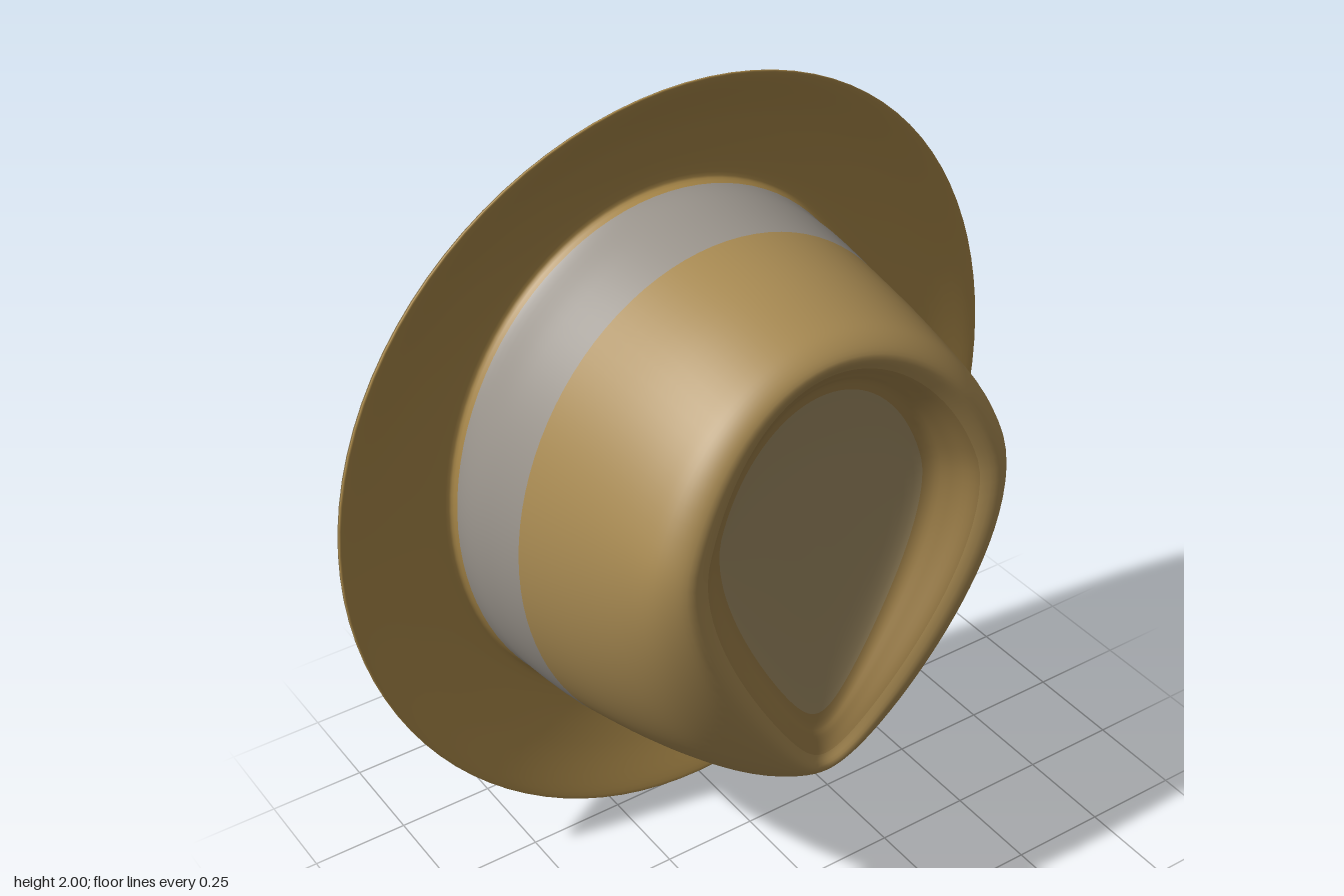
import * as THREE from 'three';

const SEG = 96, SUB = 5;

// Closed hat profile from the middle of the underside, round the brim edge,
// up the crown and into the dented top.
// Each ring: [rx, ry, centreY, z, pinch towards the front point, z lift at top and bottom]
const RINGS = [
  [0, 0, 1.06, -0.295, 0, 0],          // 0 hollow centre
  [0.24, 0.3, 1.05, -0.3, 0, 0],
  [0.38, 0.46, 1.02, -0.325, 0, 0],
  [0.48, 0.57, 1.0, -0.355, 0, 0],     // 3 underside of brim
  [0.62, 0.72, 1.0, -0.387, 0, 0],
  [0.77, 0.86, 1.0, -0.383, 0, 0.004],
  [0.9, 0.975, 1.0, -0.32, 0, 0.05],
  [0.922, 1.0, 1.0, -0.298, 0, 0.055], // 7 brim edge
  [0.9, 0.98, 1.0, -0.295, 0, 0.05],
  [0.78, 0.87, 1.0, -0.325, 0, 0.025],
  [0.64, 0.74, 0.99, -0.345, 0, 0],
  [0.605, 0.707, 0.99, -0.325, 0, 0],  // 11 foot of band
  [0.597, 0.695, 0.993, -0.22, 0, 0],
  [0.577, 0.68, 0.995, -0.09, 0, 0],   // 13 top of band
  [0.548, 0.653, 1.0, 0.1, 0.06, 0],
  [0.525, 0.623, 1.0, 0.26, 0.18, -0.02],
  [0.504, 0.6, 1.0, 0.355, 0.34, -0.05],
  [0.455, 0.568, 1.0, 0.407, 0.46, -0.07], // 17 crest of crown
  [0.4, 0.535, 1.0, 0.39, 0.5, -0.07],     // 18 inner wall
  [0.355, 0.5, 1.01, 0.335, 0.5, -0.03],
  [0.3, 0.45, 1.02, 0.29, 0.46, 0],        // 20 floor of dent
  [0.16, 0.25, 1.04, 0.272, 0.3, 0],
  [0, 0, 1.05, 0.268, 0, 0],
];

// Smooth interpolation between neighbouring rings
function ringAt(u) {
  const last = RINGS.length - 1;
  const i = Math.min(Math.floor(u), last - 1), t = u - i;
  const p = RINGS[Math.max(i - 1, 0)], a = RINGS[i], b = RINGS[i + 1], n = RINGS[Math.min(i + 2, last)];
  return a.map((v, k) => {
    const m0 = (b[k] - p[k]) / 2, m1 = (n[k] - v) / 2;
    return (2 * t ** 3 - 3 * t * t + 1) * v + (t ** 3 - 2 * t * t + t) * m0
      + (3 * t * t - 2 * t ** 3) * b[k] + (t ** 3 - t * t) * m1;
  });
}

// Point on a ring; the pinch narrows its lower half into a teardrop
function pointOn([rx, ry, cy, z, pinch, lift], angle) {
  const s = Math.sin(angle), c = Math.cos(angle);
  const d = Math.max(0, 0.4 - s);
  const narrow = 1 - pinch * d * d / (d + 0.2);
  return [rx * c * narrow, cy + ry * s, z + lift * s * s];
}

function buildShell() {
  const rows = (RINGS.length - 1) * SUB;
  const positions = [], index = [];
  for (let i = 0; i <= rows; i++) {
    const ring = ringAt(i / SUB);
    for (let j = 0; j < SEG; j++) positions.push(...pointOn(ring, (j / SEG) * Math.PI * 2));
  }
  for (let i = 0; i < rows; i++) {
    for (let j = 0; j < SEG; j++) {
      const a = i * SEG + j, b = i * SEG + (j + 1) % SEG;
      index.push(a, b, b + SEG, a, b + SEG, a + SEG);
    }
  }
  const geometry = new THREE.BufferGeometry();
  geometry.setAttribute('position', new THREE.Float32BufferAttribute(positions, 3));
  geometry.setIndex(index);
  geometry.computeVertexNormals();
  return geometry;
}

function mesh(name, geometry, color) {
  const m = new THREE.Mesh(geometry, new THREE.MeshStandardMaterial({ color }));
  m.name = name;
  return m;
}

export function createModel() {
  const hat = new THREE.Group();
  hat.name = 'hat';

  // Cut the shell into parts between ring numbers, keeping its smooth normals
  const shell = buildShell();
  const all = Array.from(shell.index.array);
  const parts = [
    ['hollowCentre', 0, 1, 0x68491f],
    ['hollowWall', 1, 3, 0x4a3318],
    ['hollowRim', 3, 4, 0x6e5a38],
    ['brimUnderside', 4, 7, 0x7d6b47],
    ['brimTop', 7, 11, 0xa88748],
    ['hatBand', 11, 13, 0x9a948c],
    ['crown', 13, 18, 0xa88a52],
    ['dentWall', 18, 20, 0x9c7e48],
    ['dentFloor', 20, 22, 0xa08c64],
  ];
  const perRing = SUB * SEG * 6;
  for (const [name, from, to, color] of parts) {
    const piece = shell.clone();
    piece.setIndex(all.slice(from * perRing, to * perRing));
    hat.add(mesh(name, piece.toNonIndexed(), color));
  }

  // Button on the left of the band
  const button = new THREE.Group();
  button.name = 'bandButton';
  const disc = mesh('buttonDisc', new THREE.CylinderGeometry(0.042, 0.048, 0.02, 24), 0x8f7a52);
  disc.rotation.z = -Math.PI / 2;
  const rim = mesh('buttonRim', new THREE.TorusGeometry(0.045, 0.01, 8, 28), 0x7d673f);
  rim.rotation.y = Math.PI / 2;
  button.add(disc, rim);
  button.position.set(0.598, 1.02, -0.22);
  button.rotation.y = -0.12;
  hat.add(button);

  // Two soft folds in the lining at the upper back
  for (const side of [-1, 1]) {
    const fold = mesh('liningFold', new THREE.SphereGeometry(1, 20, 12), 0x7d6b47);
    fold.scale.set(0.05, 0.05, 0.022);
    fold.position.set(side * 0.47, 1.58, -0.382);
    hat.add(fold);
  }

  return hat;
}
